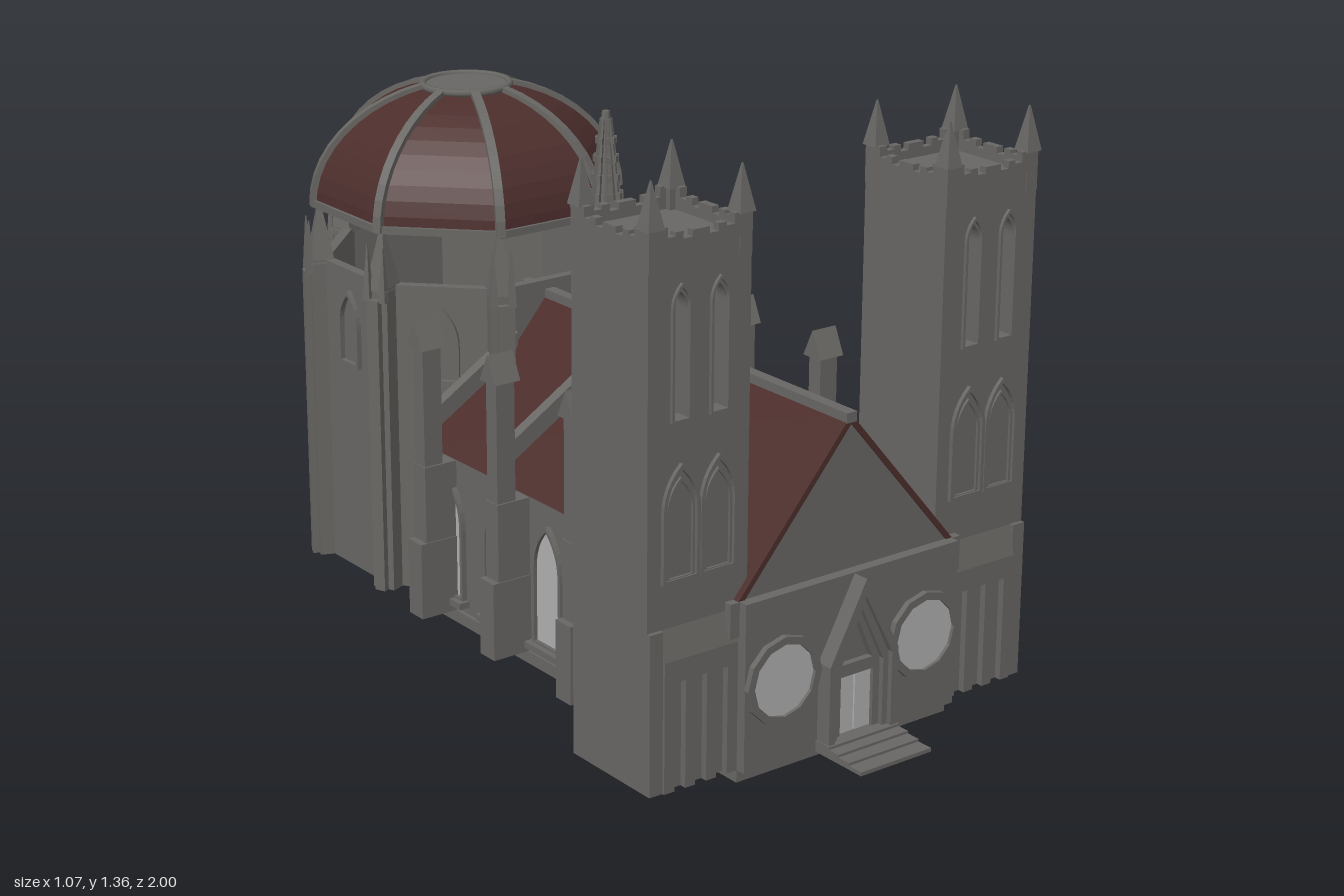
import * as THREE from 'three';

const stone = new THREE.MeshStandardMaterial({ color: 0x696764 });
const roofRed = new THREE.MeshStandardMaterial({ color: 0x4c2e2c });
const glass = new THREE.MeshStandardMaterial({ color: 0xb0b0b0 });
stone.name = 'stone'; roofRed.name = 'roofRed'; glass.name = 'glass';

const flat = g => { const f = g.index ? g.toNonIndexed() : g; f.computeVertexNormals(); return f; };

function add(parent, name, geo, mat, x = 0, y = 0, z = 0, ry = 0) {
  const m = new THREE.Mesh(geo, mat);
  m.name = name;
  m.position.set(x, y, z);
  m.rotation.y = ry;
  parent.add(m);
  return m;
}
// Box given by its limits on each axis
function box(parent, name, x0, x1, y0, y1, z0, z1, mat = stone) {
  const a = Math.min(x0, x1), b = Math.max(x0, x1);
  return add(parent, name, new THREE.BoxGeometry(b - a, y1 - y0, z1 - z0), mat, (a + b) / 2, (y0 + y1) / 2, (z0 + z1) / 2);
}
// Square pyramid standing on y, with side length w
function pyramid(parent, name, x, y, z, w, h, ry = 0) {
  const g = new THREE.CylinderGeometry(0.002, w * Math.SQRT1_2, h, 4);
  g.rotateY(Math.PI / 4);
  return add(parent, name, flat(g), stone, x, y + h / 2, z, ry);
}
const poly = pts => new THREE.Shape(pts.map(p => new THREE.Vector2(...p)));
const extrude = (shape, depth) => new THREE.ExtrudeGeometry(shape, { depth, bevelEnabled: false, curveSegments: 6 });

// Pointed arch outline, foot centre at (cx, y0)
function arch(path, cx, y0, w, h) {
  const r = w / 2, s = y0 + h - w * 1.1;
  path.moveTo(cx - r, y0);
  path.lineTo(cx + r, y0);
  path.lineTo(cx + r, s);
  path.quadraticCurveTo(cx + r, s + w * 0.65, cx, y0 + h);
  path.quadraticCurveTo(cx - r, s + w * 0.65, cx - r, s);
  path.lineTo(cx - r, y0);
  return path;
}
function archFrame(w, h, t, depth) {
  const s = arch(new THREE.Shape(), 0, 0, w, h);
  s.holes.push(arch(new THREE.Path(), 0, t, w - 2 * t, h - 2.4 * t));
  return extrude(s, depth);
}
function archWindow(parent, name, x, y, z, ry, w, h, glazed) {
  const g = new THREE.Group();
  g.name = name;
  g.position.set(x, y, z);
  g.rotation.y = ry;
  add(g, 'windowFrame', archFrame(w, h, 0.009, 0.013), stone);
  if (glazed) {
    add(g, 'windowPane', extrude(arch(new THREE.Shape(), 0, 0.004, w - 0.01, h - 0.012), 0.004), glass);
    box(g, 'windowSill', -w / 2 - 0.01, w / 2 + 0.01, -0.012, 0.004, 0, 0.028);
  }
  parent.add(g);
}

function buildTower(s) {
  const t = new THREE.Group();
  t.name = s > 0 ? 'leftTower' : 'rightTower';
  t.position.set(s * 0.398, 0, 0.68);
  const W = 0.132, top = 1.215;
  // front and back walls with paired lancet openings
  for (const z of [-0.13, 0.1]) {
    const wall = poly([[-W, 0.03], [W, 0.03], [W, top], [-W, top]]);
    for (const x of [-0.05, 0.05]) wall.holes.push(arch(new THREE.Path(), x, 0.855, 0.038, 0.27));
    add(t, 'towerWall', extrude(wall, 0.03), stone, 0, 0, z);
  }
  for (const x of [-1, 1]) box(t, 'towerSide', x * W, x * (W - 0.03), 0.03, top, -0.1, 0.1);
  box(t, 'towerFloor', -W + 0.03, W - 0.03, 0.03, 0.05, -0.1, 0.1);
  box(t, 'towerRoof', -W + 0.03, W - 0.03, 1.195, top, -0.1, 0.1);
  for (const x of [-0.05, 0.05]) {
    for (const z of [-0.138, 0.13]) add(t, 'lancetFrame', archFrame(0.05, 0.295, 0.006, 0.008), stone, x, 0.849, z);
    add(t, 'blindArch', archFrame(0.096, 0.26, 0.009, 0.01), stone, x * 0.98, 0.5, 0.13);
    add(t, 'blindArchInner', archFrame(0.072, 0.225, 0.006, 0.006), stone, x * 0.98, 0.505, 0.13);
  }
  // sloped foot with pilasters
  const foot = add(t, 'towerFoot', extrude(poly([[0.13, 0.28], [0.146, 0.28], [0.146, 0.33], [0.13, 0.4]]), 0.195), stone, 0.0975, 0, 0);
  foot.rotation.y = -Math.PI / 2;
  for (let i = 0; i < 4; i++) box(t, 'footPilaster', -0.0975 + i * 0.056, -0.0705 + i * 0.056, 0.03, 0.28, 0.13, 0.146);
  for (const x of [-1, 1]) box(t, 'cornerPier', x * 0.0975, x * W, 0.03, 0.4, 0.13, 0.14);
  // stepped parapet on four sides
  const half = [[0.132, 0], [0.132, 0.05], [0.085, 0.05], [0.085, 0.028], [0.065, 0.028], [0.065, 0.036],
    [0.045, 0.036], [0.045, 0.02], [0.022, 0.02], [0.022, 0.034]];
  const crest = poly([...half, ...half.map(([x, y]) => [-x, y]).reverse()]);
  for (let k = 0; k < 4; k++) {
    const a = k * Math.PI / 2;
    add(t, 'parapet', extrude(crest, 0.018), stone, Math.sin(a) * 0.114, top, Math.cos(a) * 0.114, a);
    const x = k % 2 ? 0.116 : -0.116, z = k < 2 ? 0.116 : -0.116;
    box(t, 'pinnacleShaft', x - 0.016, x + 0.016, top - 0.04, 1.27, z - 0.016, z + 0.016);
    pyramid(t, 'pinnacle', x, 1.262, z, 0.042, 0.1);
  }
  return t;
}

function buildFacade() {
  const f = new THREE.Group();
  f.name = 'facade';
  box(f, 'facadeWall', -0.3, 0.3, 0.03, 0.42, 0.8, 0.85);
  box(f, 'facadeBand', -0.325, 0.325, 0.34, 0.42, 0.8, 0.829);
  for (const s of [-1, 1]) {
    const ring = new THREE.Shape().absarc(0, 0, 0.102, 0, Math.PI * 2);
    ring.holes.push(new THREE.Path().absarc(0, 0, 0.084, 0, Math.PI * 2));
    add(f, 'roundWindowRing', extrude(ring, 0.014), stone, s * 0.2, 0.225, 0.85);
    const pane = new THREE.CylinderGeometry(0.086, 0.086, 0.006, 24).rotateX(Math.PI / 2);
    add(f, 'roundWindowPane', pane, glass, s * 0.2, 0.225, 0.853);
  }
  // portal of nested gabled frames
  const gable = (w, h, y) => [[-w, 0.03], [w, 0.03], [w, y], [0, h], [-w, y]];
  [[0.097, 0.418, 0.235, 0.04, 0.079], [0.08, 0.385, 0.22, 0.028, 0.064], [0.066, 0.355, 0.21, 0.016, 0.05]].forEach(([w, h, y, d, i]) => {
    const s = poly(gable(w, h, y));
    s.holes.push(poly(gable(i, h - 0.04, y - 0.008).map(([a, b]) => [a, Math.max(b, 0.034)])));
    add(f, 'portalFrame', extrude(s, d), stone, 0, 0, 0.85);
  });
  box(f, 'doorLintel', -0.052, 0.052, 0.19, 0.218, 0.85, 0.866);
  for (const s of [-1, 1]) {
    box(f, 'door', s * 0.002, s * 0.048, 0.05, 0.19, 0.85, 0.857, glass);
    box(f, 'doorJamb', s * 0.046, s * 0.053, 0.05, 0.19, 0.85, 0.866);
  }
  [0.895, 0.925, 0.96, 1.0].forEach((z, i) => box(f, 'step', -0.1, 0.1, 0.025, 0.052 - i * 0.006, 0.85, z));
  return f;
}

function buildNave() {
  const n = new THREE.Group();
  n.name = 'nave';
  box(n, 'plinth', -0.3, 0.3, 0, 0.03, -0.37, 0.825);
  box(n, 'naveWalls', -0.29, 0.29, 0.03, 0.42, -0.37, 0.82);
  add(n, 'gable', extrude(poly([[-0.292, 0.42], [0.292, 0.42], [0, 0.762]]), 1.193), stone, 0, 0, -0.369);
  add(n, 'roof', extrude(poly([[-0.302, 0.42], [-0.285, 0.42], [0, 0.752], [0.285, 0.42], [0.302, 0.42], [0, 0.773]]), 1.197), roofRed, 0, 0, -0.37);
  box(n, 'ridge', -0.014, 0.014, 0.755, 0.778, -0.37, 0.828);
  for (const s of [-1, 1]) {
    for (let i = 0; i < 5; i++) archWindow(n, 'naveWindow', s * 0.29, 0.06, 0.53 - i * 0.2, s * Math.PI / 2, 0.112, 0.305, true);
    archWindow(n, 'backWindow', s * 0.13, 0.06, -0.37, Math.PI, 0.112, 0.305, true);
    // stepped buttresses with gabled caps and flying arms
    for (const z of [0.325, 0.025, -0.275]) {
      box(n, 'buttressFoot', s * 0.285, s * 0.395, 0.03, 0.22, z - 0.028, z + 0.028);
      box(n, 'buttressMiddle', s * 0.285, s * 0.378, 0.22, 0.41, z - 0.025, z + 0.025);
      box(n, 'buttressShaft', s * 0.325, s * 0.375, 0.41, 0.71, z - 0.02, z + 0.02);
      add(n, 'buttressCap', extrude(poly([[-0.03, 0.7], [0.03, 0.7], [0, 0.765]]), 0.07), stone, s * 0.35 - 0.035, 0, z, Math.PI / 2);
      const arm = poly([[s * 0.1, 0.69], [s * 0.1, 0.64], [s * 0.345, 0.49], [s * 0.345, 0.54]]);
      add(n, 'flyingArm', extrude(arm, 0.028), stone, 0, 0, z - 0.014);
    }
  }
  return n;
}

function buildSpire() {
  const p = new THREE.Group();
  p.name = 'ridgeSpire';
  p.position.z = -0.045;
  add(p, 'spireBase', flat(new THREE.CylinderGeometry(0.047, 0.047, 0.18, 8)), stone, 0, 0.81, 0);
  add(p, 'spireCone', flat(new THREE.CylinderGeometry(0.01, 0.046, 0.34, 8)), stone, 0, 1.07, 0);
  add(p, 'spireTip', flat(new THREE.CylinderGeometry(0.009, 0.014, 0.04, 8)), stone, 0, 1.238, 0);
  for (let k = 0; k < 8; k++) {
    const r = new THREE.Group();
    r.name = 'spireRib';
    r.rotation.y = (k + 0.5) * Math.PI / 4;
    box(r, 'ribPost', 0.046, 0.062, 0.77, 0.885, -0.008, 0.008);
    pyramid(r, 'ribPinnacle', 0.054, 0.885, 0, 0.016, 0.025);
    add(r, 'ribEdge', extrude(poly([[0.04, 0.9], [0.053, 0.9], [0.014, 1.24], [0.006, 1.24]]), 0.006), stone, 0, 0, -0.003);
    for (let i = 0; i < 7; i++) {
      const x = 0.05 - i * 0.005, y = 0.925 + i * 0.043;
      box(r, 'crocket', x - 0.004, x + 0.005, y, y + 0.015, -0.005, 0.005);
    }
    p.add(r);
  }
  return p;
}

function buildApse() {
  const a = new THREE.Group();
  a.name = 'domedApse';
  a.position.z = -0.615;
  const octagon = pts => flat(new THREE.LatheGeometry(pts.map(p => new THREE.Vector2(...p)), 8, Math.PI / 8));
  const ring = (r0, r1, y0, y1) => octagon([[r0, y0], [r1, y0], [r1, y1], [r0, y1], [r0, y0]]);
  add(a, 'drum', ring(0.345, 0.372, 0.03, 0.8), stone);
  add(a, 'domeRing', ring(0.35, 0.388, 0.928, 0.946), stone);
  // dome shell: outer curve up, inner curve down
  const N = 10, T = 1.28;
  const curve = d => Array.from({ length: N + 1 }, (_, i) => {
    const t = i / N * T;
    return [(0.38 + d) * Math.cos(t), 0.932 + (0.287 + d) * Math.sin(t)];
  });
  const outer = curve(0), inner = curve(-0.012).reverse();
  add(a, 'dome', octagon([...outer, ...inner, outer[0]]), roofRed);
  add(a, 'domeCrown', new THREE.CylinderGeometry(0.108, 0.108, 0.012, 24), stone, 0, 1.207, 0);
  add(a, 'domeCrownRing', new THREE.TorusGeometry(0.106, 0.009, 6, 24).rotateX(Math.PI / 2), stone, 0, 1.212, 0);
  const rib = extrude(poly([...curve(0.01), ...curve(-0.014).reverse()]), 0.022);
  for (let k = 0; k < 8; k++) {
    const f = k * Math.PI / 4;
    if (k) archWindow(a, 'blindWindow', Math.sin(f) * 0.343, 0.56, Math.cos(f) * 0.343, f, 0.085, 0.19, false);
    const c = new THREE.Group();
    c.name = 'apseCorner';
    c.rotation.y = f + Math.PI / 8;
    add(c, 'domeRib', rib, stone, 0, 0, -0.011);
    box(c, 'cornerButtress', 0.35, 0.396, 0.03, 0.8, -0.03, 0.03);
    box(c, 'cornerFin', 0.39, 0.412, 0.03, 0.77, -0.014, 0.014);
    pyramid(c, 'cornerSpire', 0.368, 0.79, 0, 0.062, 0.16);
    for (const s of [-1, 1]) pyramid(c, 'cornerPinnacle', 0.398, 0.765, s * 0.022, 0.02, 0.135);
    a.add(c);
  }
  return a;
}

export function createModel() {
  const model = new THREE.Group();
  model.name = 'cathedral';
  model.add(buildNave(), buildFacade(), buildTower(1), buildTower(-1), buildSpire(), buildApse());
  return model;
}
